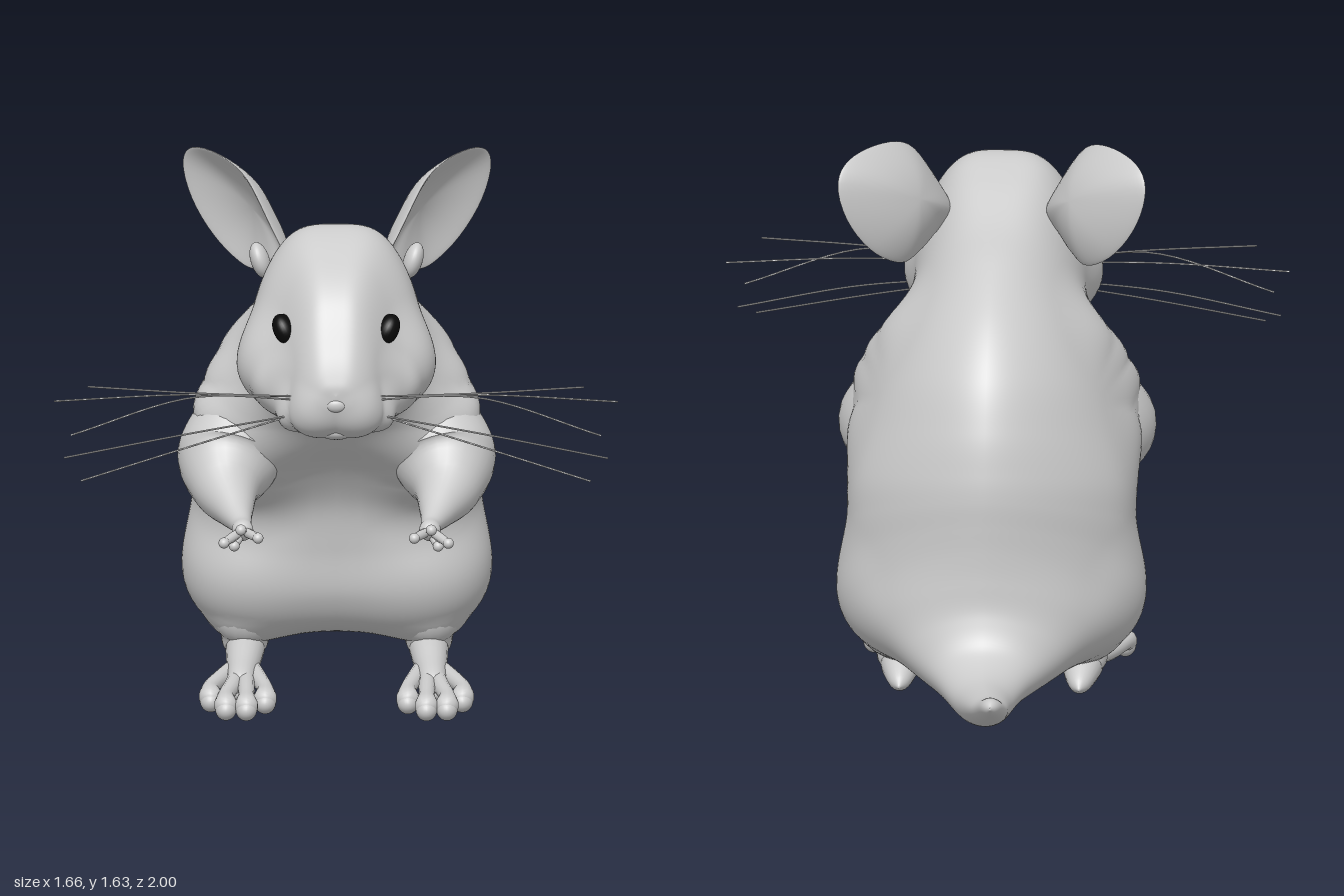
import * as THREE from 'three';
import { mergeVertices } from 'three/addons/utils/BufferGeometryUtils.js';

const grey = new THREE.MeshStandardMaterial({ color: 0xcccccc, roughness: 0.8 });
const black = new THREE.MeshStandardMaterial({ color: 0x0a0a0a, roughness: 0.4 });
const V = (x, y, z) => new THREE.Vector3(x, y, z);
const { lerp, smoothstep } = THREE.MathUtils;
const smoothCurve = (pts, closed = false) => new THREE.CatmullRomCurve3(pts, closed, 'catmullrom', 0.5);

// Smooth skin over a grid; u runs around, v runs along
function surface(fn, nu, nv) {
  const pos = [], index = [];
  for (let j = 0; j <= nv; j++) {
    for (let i = 0; i <= nu; i++) pos.push(...fn((i % nu) / nu, j / nv).toArray());
  }
  for (let j = 0; j < nv; j++) {
    for (let i = 0; i < nu; i++) {
      const a = j * (nu + 1) + i, d = a + nu + 1;
      index.push(a, a + 1, d + 1, a, d + 1, d);
    }
  }
  const geo = new THREE.BufferGeometry();
  geo.setAttribute('position', new THREE.Float32BufferAttribute(pos, 3));
  geo.setIndex(index);
  const welded = mergeVertices(geo, 1e-5);
  welded.computeVertexNormals();
  return welded;
}

// Round limb through points [x, y, z, radius]
function limb(points, nu = 20, nv = 36) {
  const path = smoothCurve(points.map(p => V(p[0], p[1], p[2])));
  const radii = smoothCurve(points.map(p => V(p[3], 0, 0)));
  return surface((u, v) => {
    const t = path.getTangent(v);
    const n = V(1, 0, 0).cross(t).normalize();
    const b = t.clone().cross(n);
    const r = Math.max(0, radii.getPoint(v).x), a = u * Math.PI * 2;
    return path.getPoint(v).addScaledVector(n, r * Math.cos(a)).addScaledVector(b, r * Math.sin(a));
  }, nu, nv);
}

function ellipsoid(c, r, tiltZ = 0) {
  return new THREE.SphereGeometry(1, 28, 20).scale(...r).rotateZ(tiltZ).translate(...c);
}

function mirrored(geo) {
  const m = geo.clone().scale(-1, 1, 1);
  const idx = m.index.array;
  for (let i = 0; i < idx.length; i += 3) [idx[i], idx[i + 1]] = [idx[i + 1], idx[i]];
  return m;
}

// Swells a skin so that it flows softly over mirrored balls [x, y, z, radius]
function swell(geo, balls, softness) {
  const p = geo.attributes.position, n = geo.attributes.normal, q = V(0, 0, 0);
  for (let i = 0; i < p.count; i++) {
    const dist = Math.min(...balls.map(([x, y, z, r]) =>
      q.set(Math.abs(p.getX(i)), p.getY(i), p.getZ(i)).distanceTo(V(x, y, z)) - r));
    const h = Math.max(softness - Math.abs(dist), 0);
    const push = Math.max(-dist, 0) + h * h / (4 * softness);
    p.setXYZ(i, p.getX(i) + push * n.getX(i), p.getY(i) + push * n.getY(i), p.getZ(i) + push * n.getZ(i));
  }
  geo.computeVertexNormals();
}

// Tail, trunk and head: [back z, back y, front z, front y, half width, front bulge]
const sections = [
  [-1.0, 0.255, -1.0, 0.25, 0, 0],
  [-0.95, 0.272, -0.95, 0.215, 0.03, 0],
  [-0.8, 0.235, -0.8, 0.15, 0.055, 0],
  [-0.6, 0.225, -0.62, 0.088, 0.085, 0],
  [-0.48, 0.27, -0.45, 0.08, 0.14, 0],
  [-0.43, 0.36, -0.28, 0.09, 0.235, 0.1],
  [-0.415, 0.46, -0.08, 0.12, 0.34, 0.2],
  [-0.41, 0.55, 0.08, 0.17, 0.395, 0.25],
  [-0.41, 0.63, 0.16, 0.28, 0.41, 0.25],
  [-0.41, 0.71, 0.18, 0.43, 0.41, 0.25],
  [-0.4, 0.79, 0.21, 0.58, 0.405, 0.25],
  [-0.37, 0.91, 0.29, 0.71, 0.38, 0.23],
  [-0.3, 1.06, 0.38, 0.8, 0.345, 0.18],
  [-0.17, 1.2, 0.45, 0.87, 0.3, 0.15],
  [0.02, 1.315, 0.52, 0.92, 0.26, 0.15],
  [0.2, 1.38, 0.59, 0.95, 0.25, 0.16],
  [0.38, 1.47, 0.66, 0.955, 0.255, 0.17],
  [0.53, 1.51, 0.73, 0.95, 0.24, 0.18],
  [0.68, 1.45, 0.8, 0.95, 0.18, 0.18],
  [0.8, 1.36, 0.86, 0.96, 0.135, 0.2],
  [0.89, 1.22, 0.905, 1.0, 0.1, 0.2],
  [0.927, 1.14, 0.928, 1.05, 0.055, 0.1],
  [0.935, 1.1, 0.935, 1.09, 0, 0],
];

function bodyGeometry() {
  const back = smoothCurve(sections.map(s => V(s[4], s[1], s[0])));
  const front = smoothCurve(sections.map(s => V(s[5], s[3], s[2])));
  const geo = surface((u, v) => {
    const d = back.getPoint(v), f = front.getPoint(v), a = u * Math.PI * 2;
    const c = Math.cos(a), s = Math.sin(a);
    const z = (d.z + f.z) / 2 + c * (d.z - f.z) / 2;
    const y = (d.y + f.y) / 2 + c * (d.y - f.y) / 2;
    // Round back and boxy belly on the trunk, flat crown on the head
    const head = smoothstep(v, 0.6, 0.76);
    const belly = lerp(1, 0.72, smoothstep(v, 0.2, 0.32));
    const power = lerp(lerp(belly, 0.88, head), lerp(1.15, 0.56, head), smoothstep(c, -0.4, 0.4));
    const x = -Math.max(0, d.x) * Math.sign(s) * Math.abs(s) ** power * (1 - f.x * c);
    const bend = smoothstep(-z, 0.45, 1.0); // tail curls to one side
    return V(x - 0.05 * bend, y, z);
  }, 96, 198);
  // Haunches
  swell(geo, [[0.255, 0.33, -0.01, 0.17], [0.265, 0.24, 0.0, 0.12]], 0.14);
  // Shoulders
  swell(geo, [
    [0.225, 1.0, 0.18, 0.1], [0.25, 0.94, 0.22, 0.13], [0.275, 0.87, 0.24, 0.15],
    [0.295, 0.81, 0.26, 0.155], [0.31, 0.745, 0.285, 0.148], [0.28, 0.74, 0.17, 0.14],
  ], 0.16);
  // Cheeks and muzzle
  swell(geo, [[0.165, 1.12, 0.62, 0.12], [0.16, 1.09, 0.7, 0.085]], 0.09);
  swell(geo, [[0.065, 1.035, 0.845, 0.077], [0.11, 1.03, 0.8, 0.075]], 0.04);
  return geo;
}

// Cupped ear: an outline in (z, y) on a slanted plane, hollow on its outer side
function earGeometry() {
  const rim = smoothCurve([
    [0.41, 1.36], [0.385, 1.48], [0.31, 1.59], [0.19, 1.63], [0.05, 1.625], [-0.015, 1.57],
    [-0.01, 1.45], [0.04, 1.34], [0.12, 1.285], [0.21, 1.295], [0.31, 1.325],
  ].map(([z, y]) => V(0, y, z)), true);
  const centre = V(0, 1.45, 0.19), normal = V(1, -0.3, 0.6).normalize();
  return surface((u, v) => {
    const r = Math.sin(Math.PI * v);
    const p = centre.clone().lerp(rim.getPoint(u), r);
    p.x = 0.447 - 0.6 * p.z - 0.85 * (1.63 - p.y) ** 2;
    return p.addScaledVector(normal, 0.018 * Math.cos(Math.PI * v) - 0.085 * (1 - r * r));
  }, 48, 28);
}

export function createModel() {
  const model = new THREE.Group();
  const add = (name, geo, mat = grey) => {
    const mesh = new THREE.Mesh(geo, mat);
    mesh.name = name;
    model.add(mesh);
  };
  const pair = (name, geo, mat) => {
    add(name + 'Left', geo, mat);
    add(name + 'Right', mirrored(geo), mat);
  };

  add('body', bodyGeometry());

  // Face
  pair('ear', earGeometry());
  pair('earBase', ellipsoid([0.225, 1.36, 0.35], [0.028, 0.055, 0.045], -0.3));
  pair('eye', ellipsoid([0.15, 1.253, 0.745], [0.034, 0.05, 0.048], -0.5), black);
  add('nose', ellipsoid([0, 1.07, 0.922], [0.032, 0.022, 0.018]));
  add('chin', ellipsoid([0, 0.975, 0.835], [0.06, 0.03, 0.055]));

  // Whiskers: root, middle, tip
  [
    [[0.1, 1.08, 0.86], [0.4, 1.1, 0.9], [0.73, 1.12, 0.9]],
    [[0.1, 1.075, 0.84], [0.45, 1.08, 0.84], [0.83, 1.06, 0.84]],
    [[0.1, 1.07, 0.86], [0.42, 1.09, 0.91], [0.78, 0.975, 0.91]],
    [[0.13, 1.02, 0.85], [0.45, 0.975, 0.905], [0.8, 0.905, 0.905]],
    [[0.13, 1.015, 0.83], [0.42, 0.945, 0.915], [0.75, 0.86, 1.0]],
  ].forEach((w, i) => {
    const curve = new THREE.CatmullRomCurve3(w.map(p => V(...p)));
    pair('whisker' + (i + 1), new THREE.TubeGeometry(curve, 16, 0.0028, 5));
  });

  // Arms and fingers
  pair('arm', limb([
    [0.22, 1.0, 0.16, 0], [0.24, 0.95, 0.19, 0.06], [0.28, 0.86, 0.235, 0.125],
    [0.317, 0.745, 0.3, 0.153], [0.325, 0.685, 0.4, 0.105], [0.3, 0.645, 0.52, 0.058],
    [0.28, 0.625, 0.61, 0.031], [0.275, 0.62, 0.67, 0.03], [0.275, 0.62, 0.7, 0],
  ], 28, 56));
  const hand = [0.275, 0.62, 0.66];
  [[0.23, 0.62, 0.75], [0.28, 0.65, 0.77], [0.33, 0.605, 0.75], [0.3, 0.583, 0.7]].forEach((tip, i) => {
    const mid = hand.map((h, k) => (h + tip[k]) / 2);
    pair('finger' + (i + 1), limb([[...hand, 0.012], [...mid, 0.014], [...tip, 0.012]], 10, 8));
    pair('fingertip' + (i + 1), ellipsoid(tip, [0.016, 0.016, 0.018]));
  });

  // Legs and feet
  pair('ankle', limb([
    [0.27, 0.32, 0.0, 0.1], [0.27, 0.2, 0.02, 0.105], [0.27, 0.14, 0.01, 0.075],
    [0.27, 0.09, 0.0, 0.06], [0.27, 0.06, 0.0, 0],
  ]));
  pair('foot', limb([
    [0.265, 0.065, -0.17, 0], [0.265, 0.075, -0.13, 0.032], [0.268, 0.098, -0.03, 0.058],
    [0.272, 0.092, 0.08, 0.055], [0.278, 0.075, 0.2, 0.045], [0.283, 0.06, 0.3, 0.036],
    [0.285, 0.055, 0.34, 0],
  ]));
  [[0.21, 0.44], [0.265, 0.52], [0.325, 0.515], [0.37, 0.42]].forEach(([x, z], i) => {
    const root = 0.275 + (x - 0.29) * 0.3;
    pair('toe' + (i + 1), limb([
      [root, 0.075, 0.14, 0.02], [(root + x) / 2, 0.065, z - 0.18, 0.025], [x, 0.06, z - 0.07, 0.024],
      [x, 0.045, z, 0.034], [x, 0.035, z + 0.03, 0],
    ], 14, 24));
    pair('toePad' + (i + 1), ellipsoid([x, 0.036, z - 0.01], [0.032, 0.034, 0.045]));
  });
  pair('solePad', ellipsoid([0.29, 0.04, 0.31], [0.05, 0.03, 0.055]));

  return model;
}
